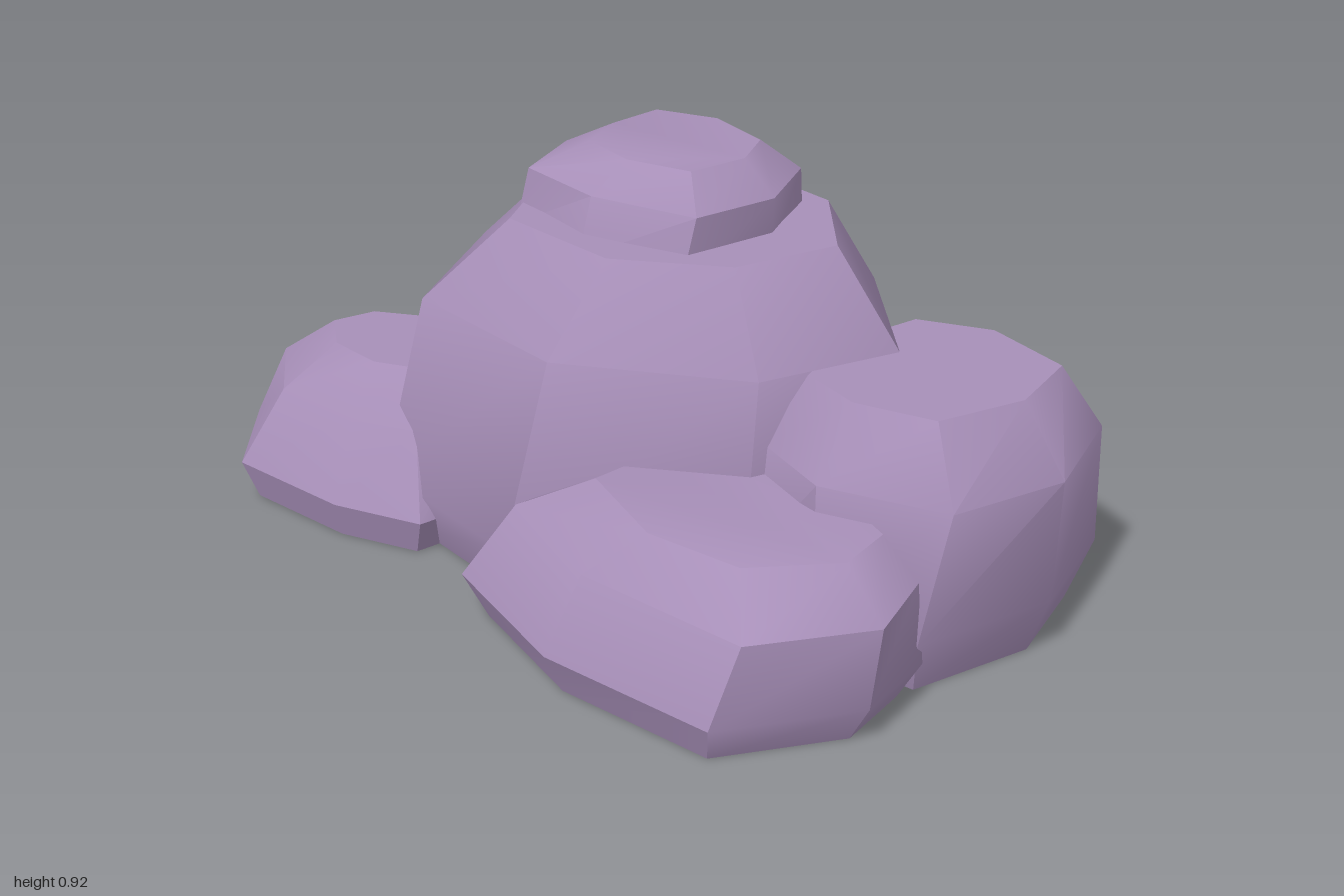
import * as THREE from 'three';
import { toCreasedNormals } from 'three/addons/utils/BufferGeometryUtils.js';

// Faceted boulder lofted through horizontal rings, each { y, pts: [x, z] x 8 } from the bottom up.
// Corners run from +x round through +z, -x and -z.
function boulder(name, rings, material) {
  const n = rings[0].pts.length;
  const pos = [];
  const index = [];
  for (const { y, pts } of rings) for (const [x, z] of pts) pos.push(x, y, z);
  for (let r = 0; r < rings.length - 1; r++) {
    for (let i = 0; i < n; i++) {
      const a = r * n + i;
      const b = r * n + (i + 1) % n;
      index.push(a, a + n, b, b, a + n, b + n);
    }
  }
  // flat top and base
  const top = (rings.length - 1) * n;
  for (let i = 1; i < n - 1; i++) {
    index.push(top, top + i + 1, top + i);
    index.push(0, i, i + 1);
  }
  const geometry = new THREE.BufferGeometry();
  geometry.setAttribute('position', new THREE.Float32BufferAttribute(pos, 3));
  geometry.setIndex(index);
  const mesh = new THREE.Mesh(toCreasedNormals(geometry, 0.62), material);
  mesh.name = name;
  return mesh;
}

const ring = (y, ...pts) => ({ y, pts });

// Ground ring: the ring above it, drawn in towards its middle
function foot(source, k) {
  const mid = [0, 1].map((j) => source.pts.reduce((s, p) => s + p[j], 0) / source.pts.length);
  return { y: 0, pts: source.pts.map((p) => p.map((v, j) => mid[j] + (v - mid[j]) * k)) };
}

export function createModel() {
  const model = new THREE.Group();
  model.name = 'rockPile';
  const stone = new THREE.MeshStandardMaterial({ color: 0xa78fb8 });
  stone.name = 'mauve stone';
  const add = (name, k, ...rings) => {
    if (k) rings.unshift(foot(rings[0], k));
    model.add(boulder(name, rings, stone));
  };

  // large central rock
  add('mainRock', 0.9,
    ring(0.14, [0.56, -0.25], [0.45, 0.12], [0.01, 0.4], [-0.45, 0.33], [-0.69, -0.13], [-0.67, -0.41], [-0.23, -0.59], [0.28, -0.54]),
    ring(0.57, [0.56, -0.25], [0.44, 0.07], [0.05, 0.3], [-0.39, 0.25], [-0.57, -0.12], [-0.58, -0.38], [-0.21, -0.57], [0.27, -0.53]),
    ring(0.77, [0.39, -0.24], [0.31, 0], [0.08, 0.15], [-0.23, 0.13], [-0.34, -0.08], [-0.33, -0.35], [-0.07, -0.46], [0.21, -0.43]));

  // small rock on the summit
  add('topRock', 0,
    ring(0.72, [0.24, -0.2], [0.19, 0.03], [-0.05, 0.1], [-0.29, 0.05], [-0.37, -0.13], [-0.36, -0.36], [-0.09, -0.43], [0.17, -0.39]),
    ring(0.85, [0.245, -0.2], [0.2, 0], [-0.05, 0.06], [-0.27, 0.03], [-0.33, -0.15], [-0.32, -0.34], [-0.09, -0.41], [0.17, -0.38]),
    ring(0.92, [0.16, -0.2], [0.13, -0.06], [-0.02, -0.02], [-0.16, -0.05], [-0.2, -0.17], [-0.19, -0.3], [-0.05, -0.35], [0.11, -0.31]));

  // tall rock at the back, on the left side
  add('backRock', 0.86,
    ring(0.14, [0.99, -0.24], [0.9, 0.1], [0.64, 0.12], [0.42, 0.08], [0.32, -0.2], [0.34, -0.47], [0.57, -0.59], [0.91, -0.52]),
    ring(0.42, [1, -0.24], [0.92, 0.03], [0.64, 0.12], [0.44, 0.05], [0.35, -0.2], [0.37, -0.46], [0.58, -0.57], [0.91, -0.51]),
    ring(0.57, [0.89, -0.24], [0.82, -0.04], [0.64, 0.01], [0.49, -0.03], [0.44, -0.22], [0.48, -0.41], [0.64, -0.48], [0.85, -0.43]));

  // low wide rock in front
  add('frontRock', 0.89,
    ring(0.09, [0.93, 0.29], [0.75, 0.57], [0.32, 0.59], [-0.05, 0.47], [-0.02, 0.2], [0.3, -0.05], [0.7, -0.05], [0.9, 0.08]),
    ring(0.27, [0.94, 0.27], [0.78, 0.51], [0.36, 0.52], [0.05, 0.4], [0.08, 0.2], [0.32, 0], [0.68, -0.02], [0.88, 0.08]),
    ring(0.36, [0.82, 0.24], [0.68, 0.4], [0.45, 0.42], [0.21, 0.32], [0.22, 0.18], [0.36, 0.06], [0.68, 0.05], [0.8, 0.1]));

  // low rock on the right side
  add('sideRock', 0.89,
    ring(0.09, [-0.25, 0.2], [-0.28, 0.38], [-0.49, 0.45], [-0.81, 0.46], [-1, 0.25], [-0.94, 0.02], [-0.69, -0.12], [-0.35, -0.05]),
    ring(0.27, [-0.3, 0.18], [-0.36, 0.31], [-0.51, 0.37], [-0.75, 0.37], [-0.92, 0.22], [-0.87, 0.04], [-0.67, -0.08], [-0.4, -0.02]),
    ring(0.38, [-0.4, 0.17], [-0.44, 0.24], [-0.53, 0.28], [-0.67, 0.27], [-0.77, 0.19], [-0.74, 0.09], [-0.62, 0.02], [-0.45, 0.05]));

  return model;
}
